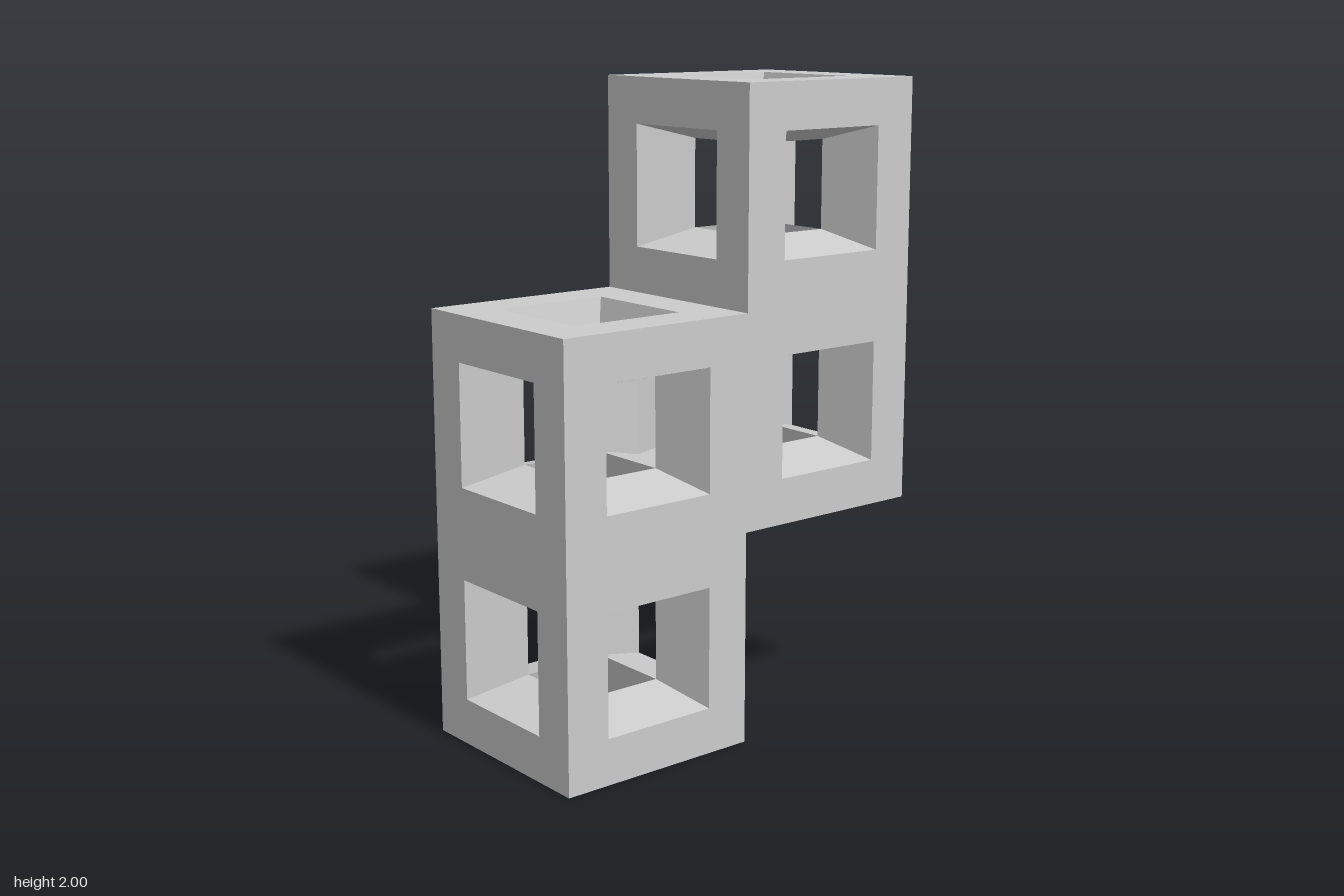
import * as THREE from 'three';

const HALF = 1 / 3;      // half a cell
const MOUTH = 0.19;      // half width of a window at the surface
const THROAT = 0.14;     // half width where the windows meet in the cell's core

// Cells of the S-shaped stack: [column, row]
const CELLS = [[0, 0], [0, 1], [1, 1], [1, 2]];
const SIDES = [
  ['right', -1, 0, 0], ['left', 1, 0, 0], ['bottom', 0, -1, 0],
  ['top', 0, 1, 0], ['back', 0, 0, -1], ['front', 0, 0, 1],
];

// Four-sided lathe facing +y; each profile point is [half width, height]
function squareLathe(profile) {
  const points = profile.map(([w, y]) => new THREE.Vector2(w * Math.SQRT2, y));
  const geometry = new THREE.LatheGeometry(points, 4, Math.PI / 4).toNonIndexed();
  geometry.computeVertexNormals();
  return geometry;
}

export function createModel() {
  const model = new THREE.Group();
  model.name = 'stackedWindowCubes';
  const material = new THREE.MeshStandardMaterial({ color: 0xcccccc, flatShading: true });

  // Outer face with tapered window, and the window alone for joints between cells
  const faceGeometry = squareLathe([[HALF, HALF], [MOUTH, HALF], [THROAT, THROAT]]);
  const jointGeometry = squareLathe([[MOUTH, HALF], [THROAT, THROAT]]);
  const up = new THREE.Vector3(0, 1, 0);
  const isCell = (c, r) => CELLS.some(([cc, rr]) => cc === c && rr === r);

  CELLS.forEach(([col, row], i) => {
    const cell = new THREE.Group();
    cell.name = `cubeFrame${i + 1}`;
    cell.position.set((col * 2 - 1) * HALF, (row * 2 + 1) * HALF, 0);
    for (const [side, x, y, z] of SIDES) {
      const joined = z === 0 && isCell(col + x, row + y);
      const face = new THREE.Mesh(joined ? jointGeometry : faceGeometry, material);
      face.name = side + (joined ? 'Joint' : 'Face');
      face.quaternion.setFromUnitVectors(up, new THREE.Vector3(x, y, z));
      cell.add(face);
    }
    model.add(cell);
  });
  return model;
}
